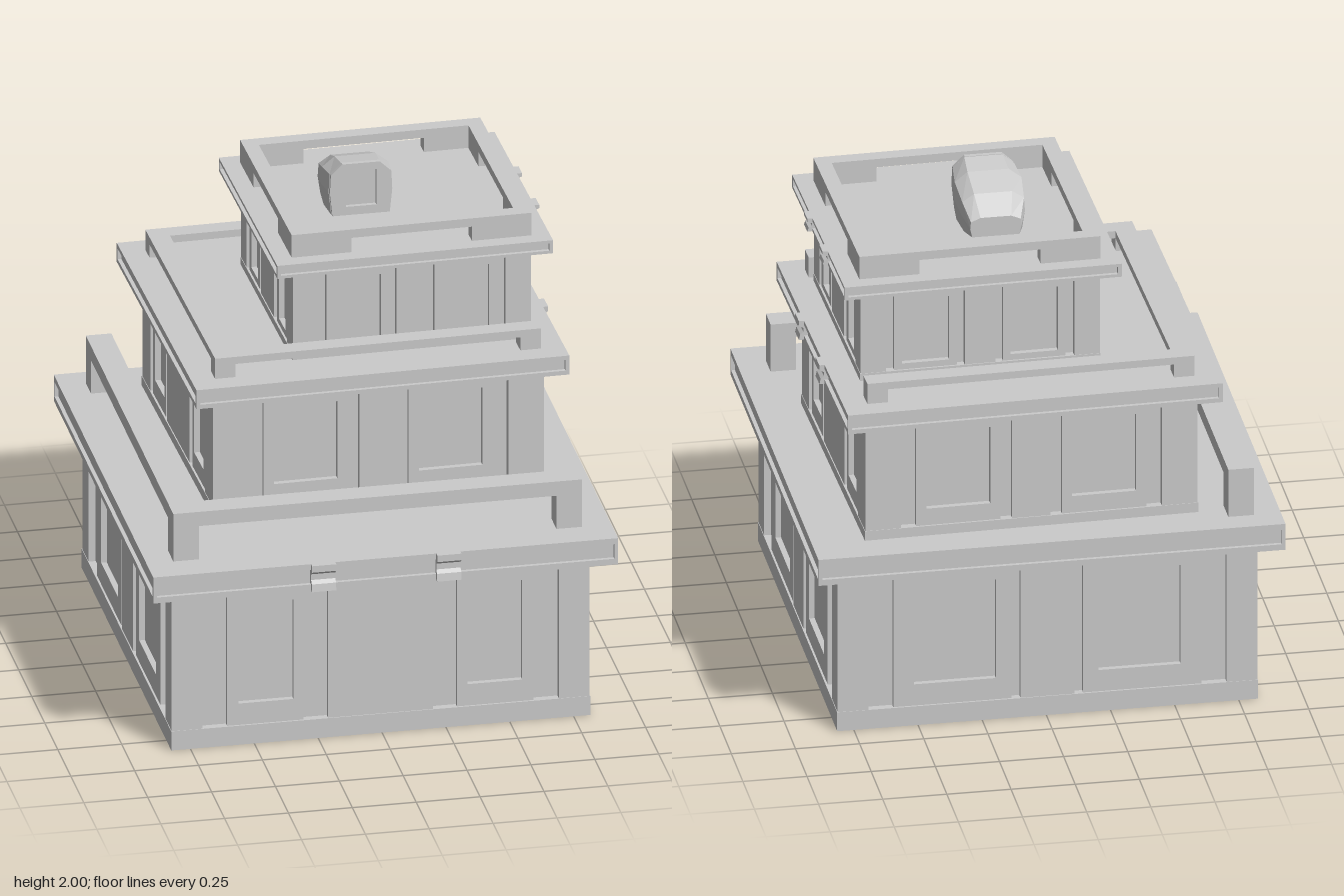
import * as THREE from 'three';

const material = new THREE.MeshStandardMaterial({ color: 0xcccccc, flatShading: true });

function add(parent, name, geometry, x = 0, y = 0, z = 0) {
  const mesh = new THREE.Mesh(geometry, material);
  mesh.name = name;
  mesh.position.set(x, y, z);
  parent.add(mesh);
  return mesh;
}

// Box given by its extents
function block(parent, name, x0, x1, y0, y1, z0, z1) {
  return add(parent, name, new THREE.BoxGeometry(x1 - x0, y1 - y0, z1 - z0),
    (x0 + x1) / 2, (y0 + y1) / 2, (z0 + z1) / 2);
}

function outline(Type, points) {
  const s = new Type();
  points.forEach(([x, y], i) => (i ? s.lineTo(x, y) : s.moveTo(x, y)));
  s.closePath();
  return s;
}
const rect = (x0, x1, y0, y1) => [[x0, y0], [x1, y0], [x1, y1], [x0, y1]];

// Plate with a hole in it
function frame(points, hole, depth) {
  const shape = outline(THREE.Shape, points);
  shape.holes.push(outline(THREE.Path, hole));
  return new THREE.ExtrudeGeometry(shape, { depth, bevelEnabled: false });
}

// One wall face: two framed recessed panels and a centre strip
function facade(parent, name, distance, angle, t, { bay, win, centre }) {
  const g = new THREE.Group();
  g.name = name;
  g.rotation.y = angle;
  const z = distance - RECESS;
  for (const s of [-1, 1]) {
    const span = ([a, b]) => (s < 0 ? [-b, -a] : [a, b]);
    add(g, 'panelFrame', frame(rect(...span(bay), t.plinth, t.top),
      rect(...span(win), t.win[0], t.win[1]), RECESS - 0.008), 0, 0, z);
  }
  block(g, 'centrePilaster', -centre, centre, t.plinth, t.top, z, z + RECESS - 0.004);
  parent.add(g);
}
const RECESS = 0.03;

function walls(parent, t) {
  const [hx, hz] = t.half, c = t.corner;
  block(parent, 'plinth', -hx, hx, t.base, t.plinth, -hz, hz);
  block(parent, 'wallCore', -hx + RECESS, hx - RECESS, t.plinth, t.top, -hz + RECESS, hz - RECESS);
  for (const sx of [-1, 1]) for (const sz of [-1, 1]) {
    add(parent, 'cornerPilaster', new THREE.BoxGeometry(c, t.top - t.plinth, c),
      sx * (hx - c / 2 - 0.002), (t.top + t.plinth) / 2, sz * (hz - c / 2 - 0.002));
  }
  facade(parent, 'frontWall', hz, 0, t, t.front);
  facade(parent, 'backWall', hz, Math.PI, t, t.back || t.front);
  facade(parent, 'leftWall', hx, Math.PI / 2, t, t.side);
  facade(parent, 'rightWall', hx, -Math.PI / 2, t, t.side);
}

// Roof slab with a sunken band around its edge
function slab(parent, [hx, hz], y0, y1) {
  const d = 0.015, lip = (y1 - y0) * 0.22;
  block(parent, 'slabCore', -hx + d, hx - d, y0 + lip, y1 - lip, -hz + d, hz - d);
  block(parent, 'slabLowerLip', -hx, hx, y0, y0 + lip, -hz, hz);
  block(parent, 'slabUpperLip', -hx, hx, y1 - lip, y1, -hz, hz);
  for (const sx of [-1, 1]) for (const sz of [-1, 1]) {
    add(parent, 'slabCorner', new THREE.BoxGeometry(d, y1 - y0 - 2 * lip, d),
      sx * (hx - d / 2), (y0 + y1) / 2, sz * (hz - d / 2));
  }
}

// Clips gripping the slab edge: waisted profile, extruded along the edge
function clips(parent, distance, angle, y0, y1, offset, width) {
  const g = new THREE.Group();
  g.name = 'edgeClips';
  g.rotation.y = angle;
  const h = y1 - y0;
  const profile = outline(THREE.Shape, [[-0.03, y0], [0.02, y0], [0.015, y0 + h * 0.28],
    [0.002, y0 + h * 0.4], [0.002, y0 + h * 0.62], [0.02, y0 + h * 0.75], [0.02, y1], [-0.03, y1]]);
  for (const s of [-1, 1]) {
    const geometry = new THREE.ExtrudeGeometry(profile, { depth: width, bevelEnabled: false });
    geometry.rotateY(-Math.PI / 2);
    add(g, 'edgeClip', geometry, s * offset + width / 2, 0, distance);
  }
  parent.add(g);
}

function tier(root, name, t) {
  const g = new THREE.Group();
  g.name = name;
  g.position.set(t.centre[0], 0, t.centre[1]);
  g.rotation.y = t.turn || 0;
  walls(g, t);
  slab(g, t.slab, t.top, t.roof);
  root.add(g);
  return g;
}

export function createModel() {
  const root = new THREE.Group();
  root.name = 'steppedBuilding';

  // Lower tier
  const lower = tier(root, 'lowerTier', {
    centre: [-0.005, -0.015], half: [0.82, 0.86], corner: 0.12, slab: [0.91, 0.955],
    base: 0, plinth: 0.08, top: 0.67, roof: 0.78, win: [0.17, 0.59],
    front: { bay: [0.3, 0.6], win: [0.34, 0.555], centre: 0.205 },
    back: { bay: [0.14, 0.6], win: [0.2, 0.52], centre: 0.105 },
    side: { bay: [0.14, 0.61], win: [0.205, 0.525], centre: 0.105 },
  });
  clips(lower, 0.955, 0, 0.67, 0.78, 0.245, 0.095);
  const rail1 = new THREE.Group();
  rail1.name = 'lowerRailing';
  block(rail1, 'frontRail', -0.81, 0.79, 0.92, 0.98, 0.71, 0.81);
  block(rail1, 'sideRail', -0.81, -0.71, 0.92, 0.98, -0.87, 0.71);
  for (const [x, z] of [[-0.81, 0.71], [0.69, 0.71], [-0.81, -0.87]]) {
    block(rail1, 'railPost', x, x + 0.1, 0.78, 0.92, z, z + 0.1);
  }
  root.add(rail1);

  // Middle tier
  const middle = tier(root, 'middleTier', {
    centre: [0.06, -0.198], turn: 0.02, half: [0.652, 0.622], corner: 0.14, slab: [0.733, 0.697],
    base: 0.78, plinth: 0.82, top: 1.275, roof: 1.355, win: [0.89, 1.215],
    front: { bay: [0.12, 0.45], win: [0.16, 0.41], centre: 0.075 },
    side: { bay: [0.235, 0.455], win: [0.262, 0.42], centre: 0.2 },
  });
  clips(middle, 0.733, Math.PI / 2, 1.275, 1.355, 0.2, 0.075);
  const rail2 = new THREE.Group();
  rail2.name = 'middleRailing';
  block(rail2, 'frontRail', -0.64, 0.64, 1.41, 1.44, 0.535, 0.61);
  block(rail2, 'backRail', -0.64, 0.64, 1.41, 1.44, -0.61, -0.535);
  block(rail2, 'sideRail', -0.64, -0.56, 1.41, 1.44, -0.535, 0.535);
  for (const x of [-0.64, 0.56]) for (const z of [-0.61, 0.535]) {
    block(rail2, 'railPost', x, x + 0.08, 1.355, 1.41, z, z + 0.075);
  }
  middle.add(rail2);

  // Upper tier
  const upper = tier(root, 'upperTier', {
    centre: [0.218, -0.15], turn: 0.02, half: [0.47, 0.455], corner: 0.1, slab: [0.542, 0.512],
    base: 1.355, plinth: 1.385, top: 1.73, roof: 1.785, win: [1.41, 1.68],
    front: { bay: [0.09, 0.335], win: [0.12, 0.305], centre: 0.06 },
    side: { bay: [0.15, 0.335], win: [0.185, 0.3], centre: 0.115 },
  });
  clips(upper, 0.542, Math.PI / 2, 1.73, 1.785, 0.15, 0.065);

  // Parapet: closed ring on four L-shaped corner blocks
  const parapet = new THREE.Group();
  parapet.name = 'parapet';
  const px = 0.472, pz = 0.45, w = 0.06, leg = 0.235;
  const ring = frame(rect(-px, px, -pz, pz), rect(-px + w, px - w, -pz + w, pz - w), 0.035);
  ring.rotateX(-Math.PI / 2);
  add(parapet, 'parapetRing', ring, 0, 1.845, 0);
  for (const sx of [-1, 1]) for (const sz of [-1, 1]) {
    add(parapet, 'parapetBlock', new THREE.BoxGeometry(leg, 0.06, w),
      sx * (px - leg / 2), 1.815, sz * (pz - w / 2));
    add(parapet, 'parapetBlock', new THREE.BoxGeometry(w, 0.06, leg - w),
      sx * (px - w / 2), 1.815, sz * (pz - w - (leg - w) / 2));
  }
  upper.add(parapet);

  // Rooftop hatch: rounded hood lofted from front to back
  const hatch = new THREE.Group();
  hatch.name = 'roofHatch';
  hatch.position.set(0.097, 1.785, 0);
  const section = (hw, h) => [[-hw * 0.92, 0], [hw * 0.92, 0], [hw, h * 0.45], [hw * 0.97, h * 0.8],
    [hw * 0.6, h], [-hw * 0.6, h], [-hw * 0.97, h * 0.8], [-hw, h * 0.45]];
  const stations = [[-0.05, 0.124, 0.213], [-0.15, 0.134, 0.198], [-0.26, 0.124, 0.155], [-0.32, 0.1, 0.08]];
  const loops = stations.map(([z, hw, h]) => section(hw, h).map(([x, y]) => [x, y, z]));
  const n = loops[0].length, index = [];
  for (let i = 0; i < loops.length - 1; i++) for (let j = 0; j < n; j++) {
    const a = i * n + j, b = i * n + (j + 1) % n;
    index.push(a, a + n, b, b, a + n, b + n);
  }
  const last = (loops.length - 1) * n;
  for (let j = 1; j < n - 1; j++) index.push(0, j, j + 1, last, last + j + 1, last + j);
  const hood = new THREE.BufferGeometry();
  hood.setAttribute('position', new THREE.Float32BufferAttribute(loops.flat(2), 3));
  hood.setIndex(index);
  hood.computeVertexNormals();
  add(hatch, 'hatchHood', hood);
  add(hatch, 'hatchFrame', frame(section(0.122, 0.215), rect(-0.06, 0.06, 0.035, 0.185), 0.017), 0, 0, -0.05);
  root.add(hatch);

  return root;
}
